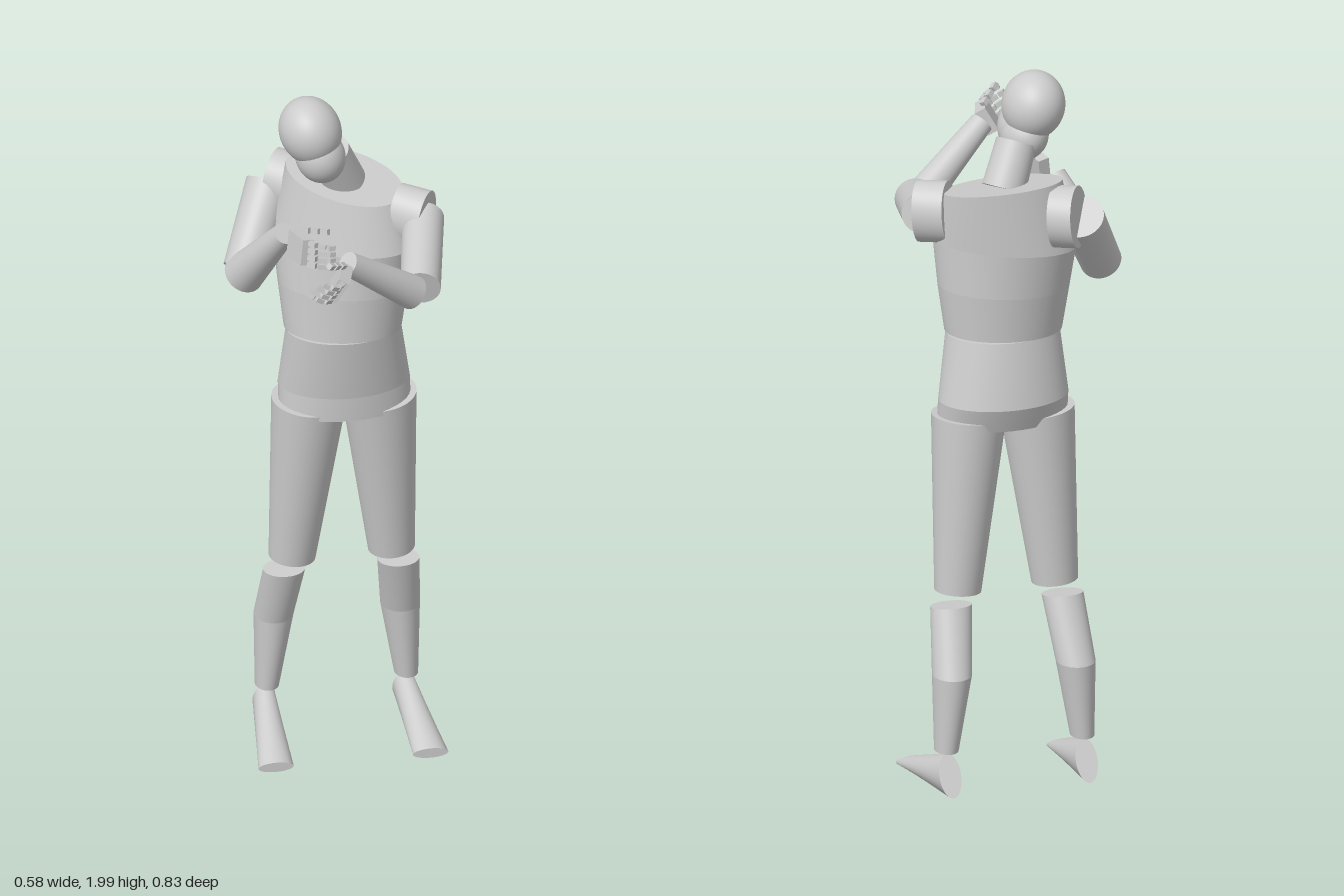
import * as THREE from 'three';

const V = (x, y, z) => new THREE.Vector3(x, y, z);
const material = new THREE.MeshStandardMaterial({ color: 0xcccccc });
const SIDES = 40;

// Elliptical cross-section: centre, half sizes, axis and sideways direction
function ring(c, a, b, dir, side) {
  const d = dir.clone().normalize();
  const u = side.clone().addScaledVector(d, -side.dot(d)).normalize();
  const v = d.clone().cross(u);
  return Array.from({ length: SIDES }, (_, i) => {
    const t = (i / SIDES) * Math.PI * 2;
    return c.clone().addScaledVector(u, a * Math.cos(t)).addScaledVector(v, b * Math.sin(t));
  });
}

// Closed loft through rings: smooth around, sharp at every ring
function loft(parent, name, rings) {
  const pos = [], idx = [];
  const add = (pts) => {
    const start = pos.length / 3;
    pts.forEach((p) => pos.push(p.x, p.y, p.z));
    return start;
  };
  for (let k = 0; k < rings.length - 1; k++) {
    const A = add(rings[k]), B = add(rings[k + 1]);
    for (let i = 0; i < SIDES; i++) {
      const j = (i + 1) % SIDES;
      idx.push(A + i, A + j, B + j, A + i, B + j, B + i);
    }
  }
  const first = add(rings[0]), last = add(rings[rings.length - 1]);
  for (let i = 1; i < SIDES - 1; i++) {
    idx.push(first, first + i + 1, first + i, last, last + i, last + i + 1);
  }
  const g = new THREE.BufferGeometry();
  g.setAttribute('position', new THREE.Float32BufferAttribute(pos, 3));
  g.setIndex(idx);
  g.computeVertexNormals();
  return place(parent, name, g);
}

function place(parent, name, geometry) {
  const m = new THREE.Mesh(geometry, material);
  m.name = name;
  parent.add(m);
  return m;
}

// Tapered round limb between two points
function limb(parent, name, p, q, r0, r1) {
  const d = q.clone().sub(p);
  const side = Math.abs(d.x) > Math.abs(d.z) ? V(0, 0, 1) : V(1, 0, 0);
  return loft(parent, name, [ring(p, r0, r0, d, side), ring(q, r1, r1, d, side)]);
}

// Flat shoulder drum around an axis
function drum(parent, name, c, axis, half, tall, deep) {
  const d = axis.clone().normalize();
  const end = (s) => ring(c.clone().addScaledVector(d, s * half), tall, deep, d, V(0, 1, 0));
  return loft(parent, name, [end(-1), end(1)]);
}

// Hand: local x runs towards the thumb (times s), y out of the palm, z along the fingers
function hand(parent, name, c, forward, palmNormal, s) {
  const g = new THREE.Group();
  g.name = name;
  const F = forward.clone().normalize();
  const N = palmNormal.clone().addScaledVector(F, -palmNormal.dot(F)).normalize();
  g.quaternion.setFromRotationMatrix(new THREE.Matrix4().makeBasis(N.clone().cross(F), N, F));
  g.position.copy(c);
  parent.add(g);
  place(g, 'palm', new THREE.BoxGeometry(0.072, 0.032, 0.088));

  // Curled fingers, each a chain of separate blocks
  for (let f = 0; f < 4; f++) {
    const x = s * (0.03 - f * 0.02);
    let y = 0.002, z = 0.05, curl = 0.35 + f * 0.12;
    for (let k = 0; k < 3; k++) {
      const len = 0.024 - k * 0.003;
      const block = place(g, 'fingerSegment', new THREE.BoxGeometry(0.014, 0.014, len));
      block.position.set(x, y + Math.sin(curl) * len / 2, z + Math.cos(curl) * len / 2);
      block.rotation.x = -curl;
      y += Math.sin(curl) * (len + 0.007);
      z += Math.cos(curl) * (len + 0.007);
      curl += 0.6;
    }
  }
  // Thumb
  for (let k = 0; k < 3; k++) {
    const block = place(g, 'thumbSegment', new THREE.BoxGeometry(0.015, 0.015, 0.022));
    block.position.set(s * (0.042 + k * 0.005), 0.018 + k * 0.017, -0.012 + k * 0.023);
    block.rotation.set(-0.6, s * 0.2, 0);
  }
}

export function createModel() {
  const model = new THREE.Group();
  model.name = 'mannequin';
  const UP = V(0, 1, 0), X = V(1, 0, 0);
  const turned = (angle) => V(Math.cos(angle), 0, Math.sin(angle));

  // Head: skull, face and jaw, tipped to one side
  const head = new THREE.Group();
  head.name = 'head';
  head.position.set(-0.07, 1.907, -0.15);
  head.rotation.set(0.08, 0.1, 0.3);
  model.add(head);
  [
    ['skull', [0, 0, 0], [0.083, 0.093, 0.096]],
    ['face', [0, -0.068, 0.03], [0.067, 0.076, 0.072]],
    ['jaw', [0, -0.085, 0.008], [0.063, 0.07, 0.078]],
  ].forEach(([name, p, r]) => {
    const m = place(head, name, new THREE.SphereGeometry(1, 40, 28));
    m.position.set(...p);
    m.scale.set(...r);
  });
  limb(model, 'neck', V(0.035, 1.705, -0.225), V(-0.012, 1.82, -0.185), 0.06, 0.055);

  // Torso twists from the level pelvis to the turned shoulders
  loft(model, 'shoulderYoke', [
    ring(V(0.027, 1.55, -0.205), 0.2, 0.122, UP, turned(0.57)),
    ring(V(0.038, 1.715, -0.225), 0.165, 0.112, V(0.1, 1, 0.2), turned(0.57)),
  ]);
  loft(model, 'ribcage', [
    ring(V(0.025, 1.29, -0.186), 0.158, 0.113, UP, turned(0.2)),
    ring(V(0.027, 1.42, -0.194), 0.177, 0.12, UP, turned(0.38)),
    ring(V(0.027, 1.55, -0.204), 0.197, 0.119, UP, turned(0.57)),
  ]);
  loft(model, 'pelvis', [
    ring(V(0.034, 1.04, -0.205), 0.179, 0.108, UP, X),
    ring(V(0.034, 1.11, -0.217), 0.178, 0.123, UP, X),
    ring(V(0.027, 1.29, -0.186), 0.155, 0.119, UP, X),
  ]);

  // Legs, mirrored about the body's own middle line
  const mid = 0.033;
  for (const s of [-1, 1]) {
    const leg = new THREE.Group();
    leg.name = s > 0 ? 'leftLeg' : 'rightLeg';
    leg.position.x = mid;
    model.add(leg);
    limb(leg, 'thigh', V(s * 0.135, 0.57, -0.241), V(s * 0.095, 1.06, -0.21), 0.063, 0.101);
    loft(leg, 'shin', [
      ring(V(s * 0.189, 0.145, -0.315), 0.032, 0.043, UP, X),
      ring(V(s * 0.172, 0.36, -0.311), 0.053, 0.061, UP, X),
      ring(V(s * 0.155, 0.53, -0.246), 0.057, 0.043, V(0, 1, 0.12), X),
    ]);
    // Foot tapers from an upright heel oval to a wide flat toe
    loft(leg, 'foot', [
      ring(V(s * 0.19, 0.083, -0.355), 0.03, 0.061, V(0, -0.5, 0.87), X),
      ring(V(s * 0.21, 0.02, -0.075), 0.048, 0.014, V(0, 0, 1), X),
    ]);
  }

  // Left arm reaches forward and across
  const shoulderAxis = V(0.84, -0.08, 0.54);
  drum(model, 'leftShoulder', V(0.203, 1.625, -0.135), shoulderAxis, 0.042, 0.085, 0.068);
  limb(model, 'leftUpperArm', V(0.233, 1.622, -0.13), V(0.176, 1.553, 0.13), 0.056, 0.054);
  limb(model, 'leftForearm', V(0.152, 1.55, 0.145), V(-0.042, 1.706, 0.234), 0.047, 0.032);
  hand(model, 'leftHand', V(-0.078, 1.69, 0.307), V(-0.3, -0.05, 0.95), V(-0.8, 0.5, -0.25), 1);

  // Right arm hangs back and folds up towards the chest
  drum(model, 'rightShoulder', V(-0.105, 1.655, -0.342), shoulderAxis, 0.033, 0.085, 0.077);
  limb(model, 'rightUpperArm', V(-0.145, 1.65, -0.345), V(-0.237, 1.465, -0.22), 0.062, 0.056);
  limb(model, 'rightForearm', V(-0.24, 1.46, -0.205), V(-0.158, 1.655, -0.053), 0.056, 0.031);
  hand(model, 'rightHand', V(-0.132, 1.655, 0.03), V(0.25, 0.1, 0.95), V(0.95, -0.15, -0.2), -1);

  return model;
}
